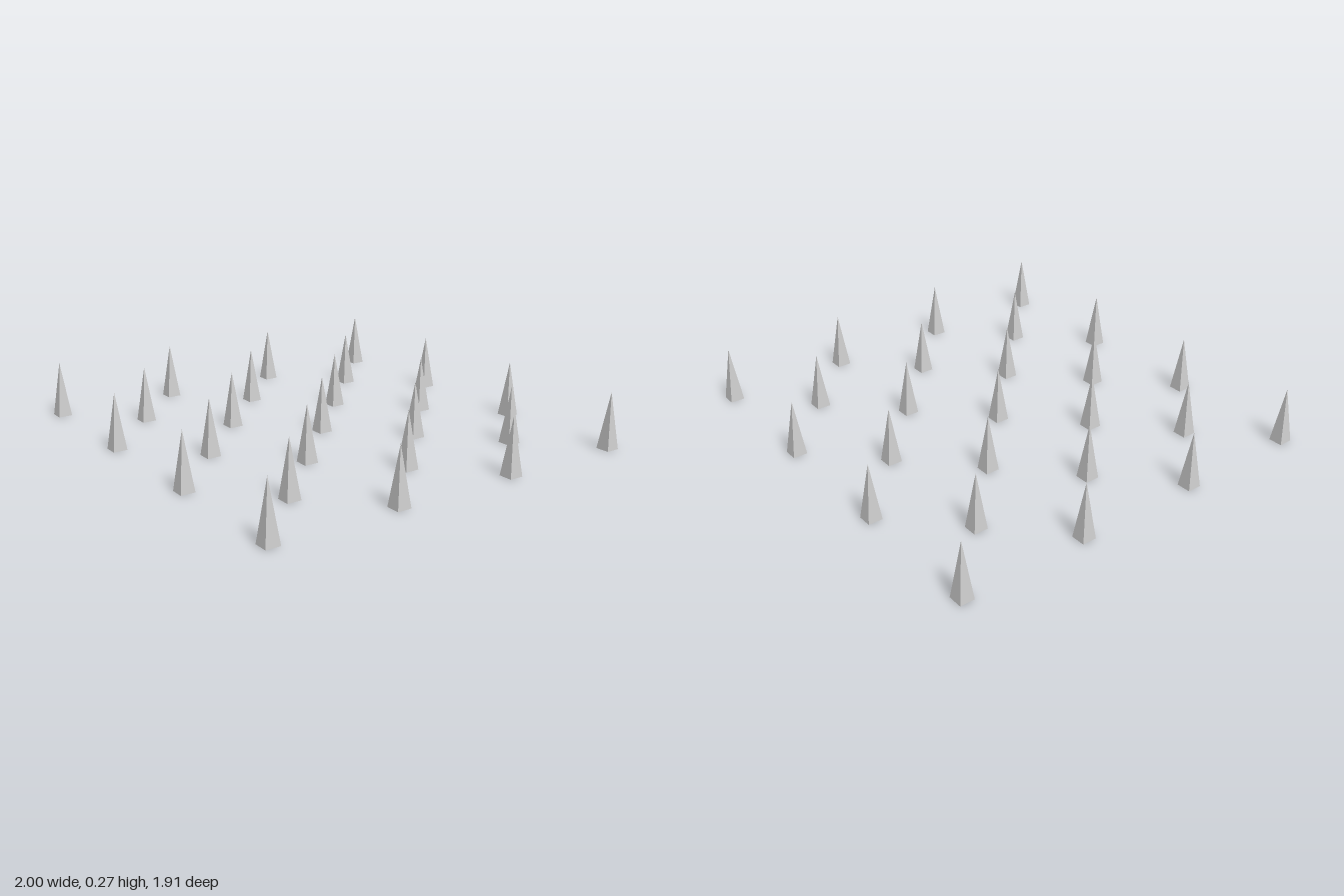
import * as THREE from 'three';

const HEIGHT = 0.27, HALF_BASE = 0.034;
const STEP_X = 0.322, STEP_Z = 0.307;

export function createModel() {
  const model = new THREE.Group();
  model.name = 'spikeField';
  const material = new THREE.MeshStandardMaterial({ color: 0xcccccc, flatShading: true });

  // four-sided spike with its square base aligned to the axes
  const spikeGeometry = new THREE.ConeGeometry(HALF_BASE * Math.SQRT2, HEIGHT, 4)
    .rotateY(Math.PI / 4)
    .translate(0, HEIGHT / 2, 0);

  // staggered rows: four spikes, then three in the gaps
  for (let row = -3; row <= 3; row++) {
    const rowGroup = new THREE.Group();
    rowGroup.name = 'spikeRow';
    rowGroup.position.z = row * STEP_Z;
    const reach = row % 2 === 0 ? 2 : 3;
    for (let column = -reach; column <= reach; column += 2) {
      const spike = new THREE.Mesh(spikeGeometry, material);
      spike.name = 'spike';
      spike.position.x = column * STEP_X;
      rowGroup.add(spike);
    }
    model.add(rowGroup);
  }
  return model;
}
